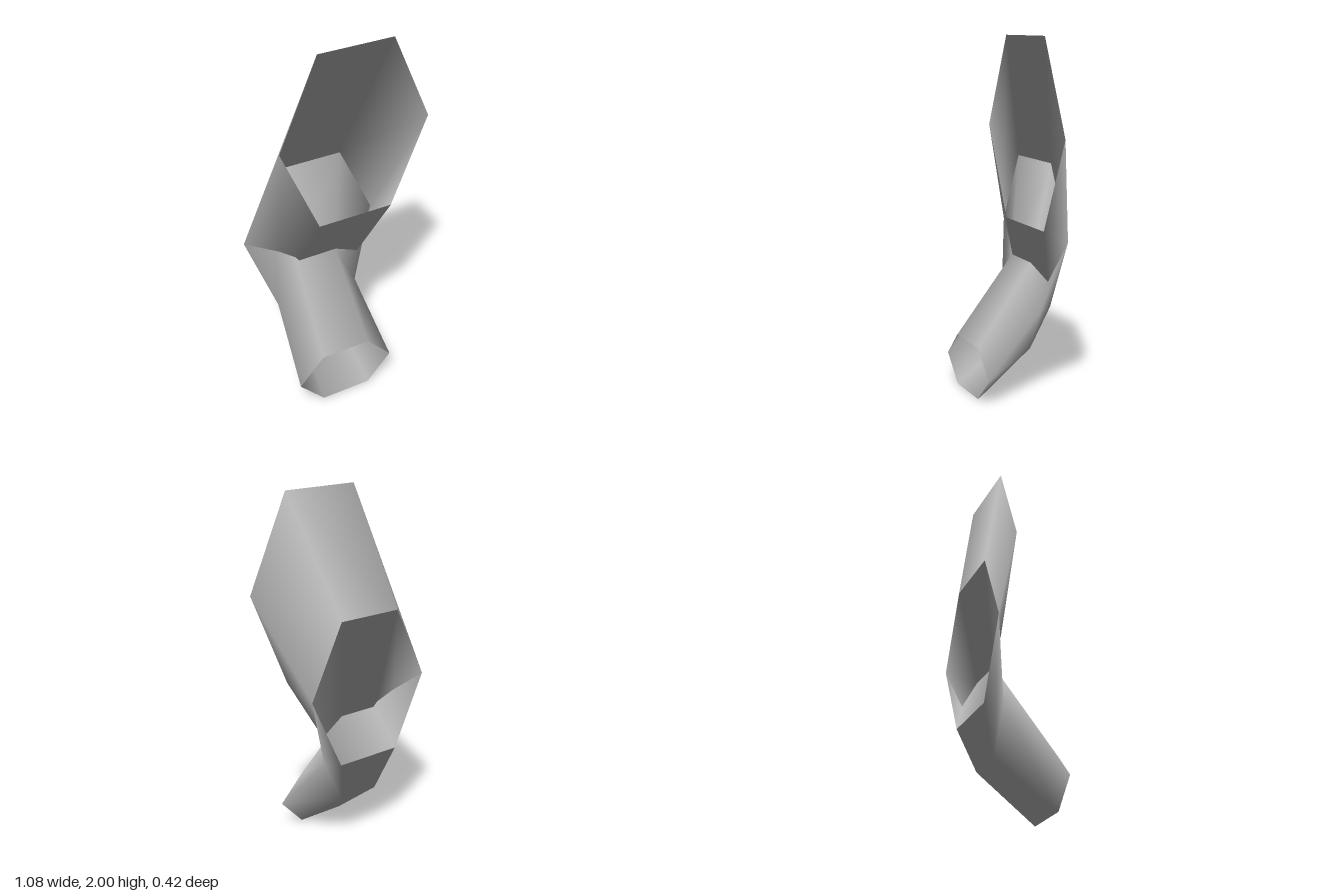
import * as THREE from 'three';

// Cross-sections of the bent tube, from the lower mouth to the upper mouth.
// Each hexagon lies in a plane of constant z; h is half its height.
const RINGS = [
  { x: -0.137, y: 0.148, z: 0.21, rx: 0.293, h: 0.148 },
  { x: -0.136, y: 0.49, z: -0.123, rx: 0.252, h: 0.243 },
  { x: -0.135, y: 0.904, z: -0.208, rx: 0.405, h: 0.405 },
  { x: 0.075, y: 1.492, z: -0.043, rx: 0.46, h: 0.508 },
];
const SIDES = 6;

export function createModel() {
  const group = new THREE.Group();
  group.name = 'bentTube';

  const grey = new THREE.MeshStandardMaterial({ color: 0xb3b3b3, side: THREE.DoubleSide });
  grey.name = 'grey';

  // Open six-sided tube along z with a corner on each side; it keeps its radial normals.
  const geometry = new THREE.CylinderGeometry(1, 1, 1, SIDES, RINGS.length - 1, true, Math.PI / 2);
  geometry.rotateX(Math.PI / 2);

  // Move each row of corners onto its cross-section.
  const position = geometry.attributes.position;
  const flat = Math.sin(Math.PI / 3); // height of the flat top of a unit hexagon
  for (let i = 0; i < position.count; i++) {
    const ring = RINGS[Math.floor(i / (SIDES + 1))];
    position.setXYZ(
      i,
      ring.x + ring.rx * position.getX(i),
      ring.y + (ring.h / flat) * position.getY(i),
      ring.z
    );
  }

  const tube = new THREE.Mesh(geometry, grey);
  tube.name = 'tubeWall';
  group.add(tube);
  return group;
}
